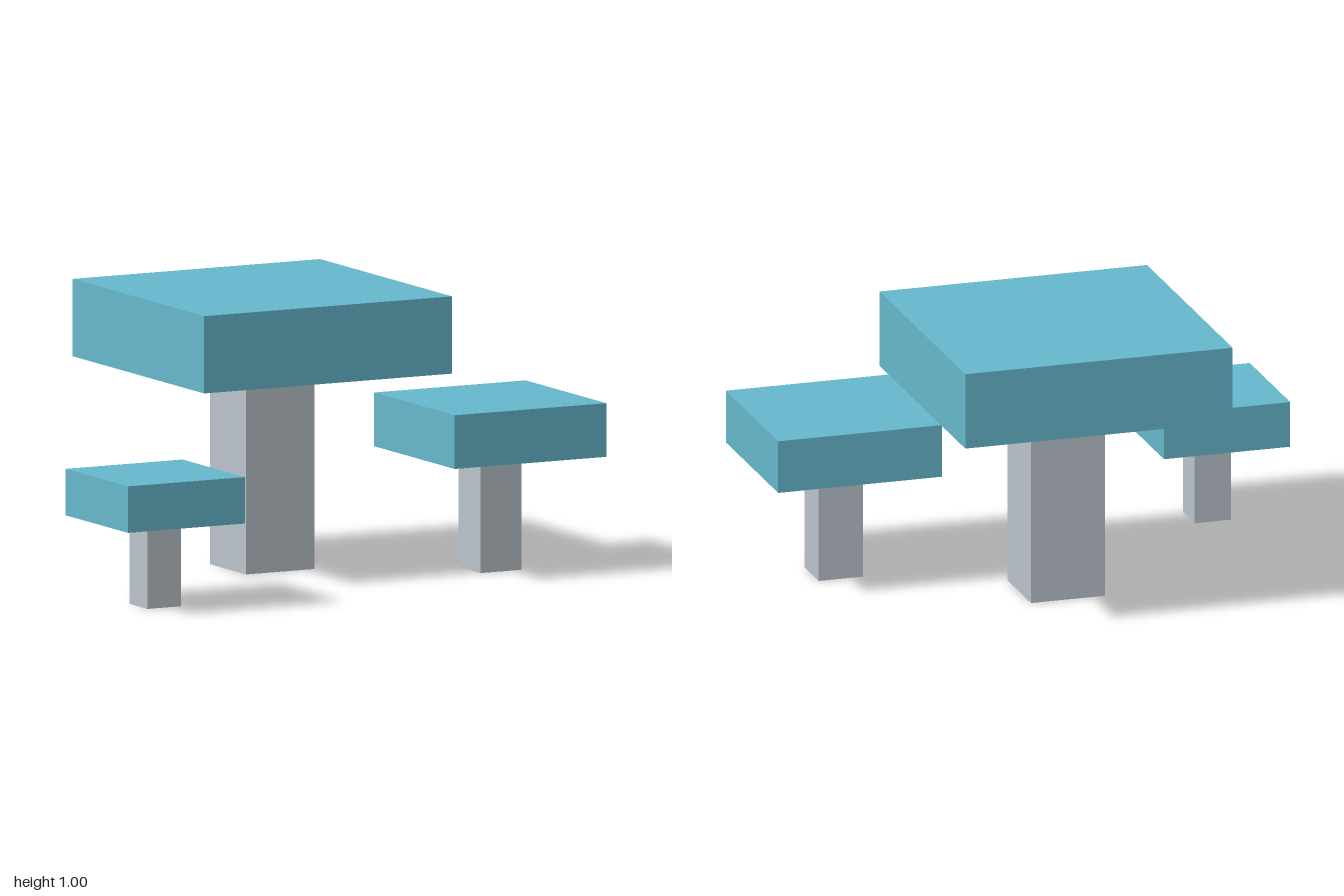
import * as THREE from 'three';

const capBlue = new THREE.MeshStandardMaterial({ color: 0x66b8cd });
const stemGrey = new THREE.MeshStandardMaterial({ color: 0xbbc3cb });
capBlue.name = 'capBlue';
stemGrey.name = 'stemGrey';

// Square block centred on the mushroom's axis, from y0 up to y1
function block(name, width, y0, y1, material) {
  const mesh = new THREE.Mesh(new THREE.BoxGeometry(width, y1 - y0, width), material);
  mesh.name = name;
  mesh.position.y = (y0 + y1) / 2;
  return mesh;
}

// One blocky mushroom: a square stem under a wide square cap
function mushroom({ name, x, z, stemWidth, capWidth, capBottom, capTop }) {
  const group = new THREE.Group();
  group.name = name;
  group.position.set(x, 0, z);
  group.add(
    block('stem', stemWidth, 0, capBottom, stemGrey),
    block('cap', capWidth, capBottom, capTop, capBlue),
  );
  return group;
}

export function createModel() {
  const model = new THREE.Group();
  model.name = 'mushroomCluster';
  const sizes = [
    { name: 'largeMushroom', x: -0.002, z: -0.181, stemWidth: 0.275, capWidth: 0.998, capBottom: 0.725, capTop: 1.003 },
    { name: 'mediumMushroom', x: 0.694, z: 0.236, stemWidth: 0.166, capWidth: 0.611, capBottom: 0.42, capTop: 0.613 },
    { name: 'smallMushroom', x: -0.765, z: 0.444, stemWidth: 0.135, capWidth: 0.471, capBottom: 0.308, capTop: 0.475 },
  ];
  for (const size of sizes) model.add(mushroom(size));
  return model;
}
